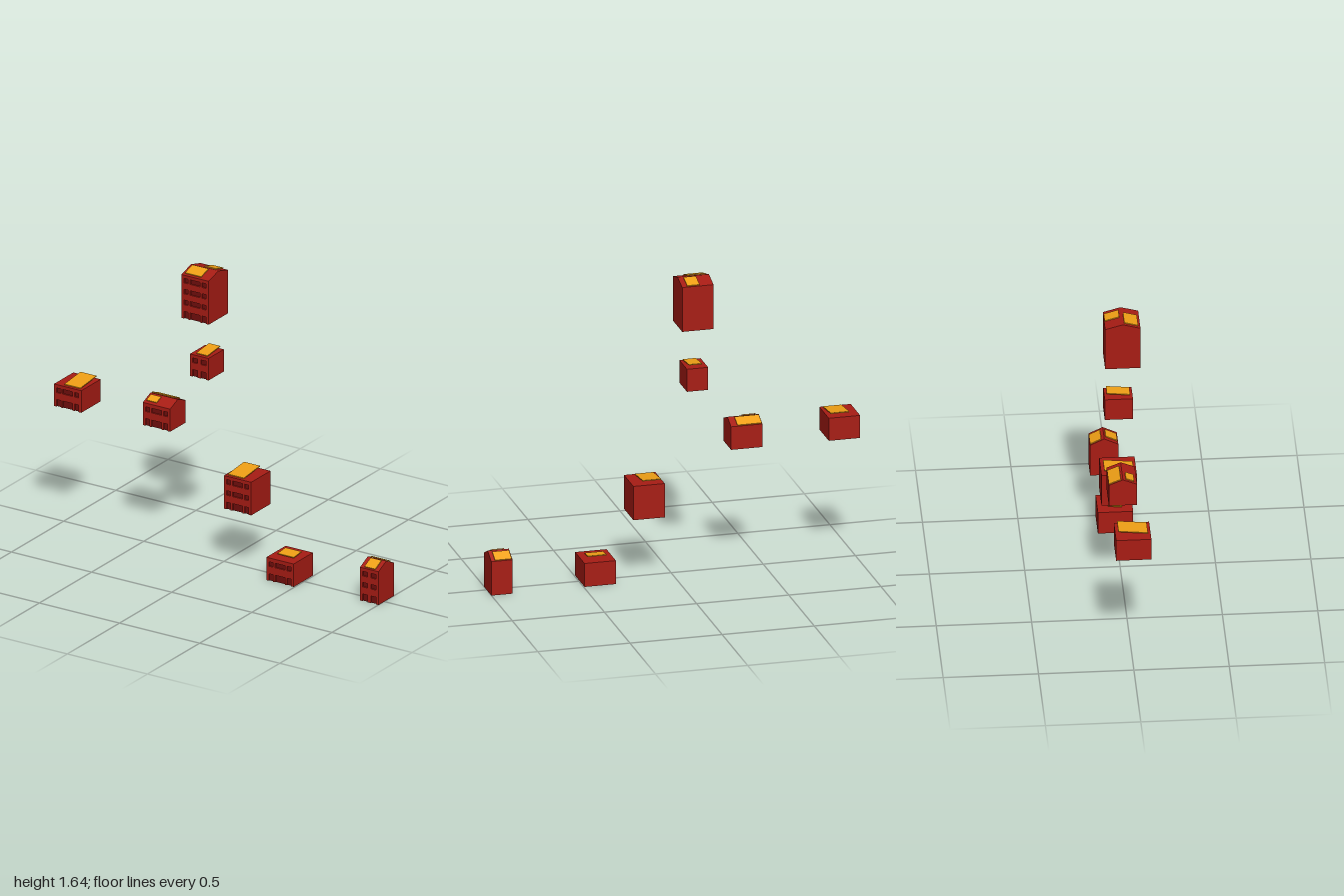
import * as THREE from 'three';

const brick = new THREE.MeshStandardMaterial({ color: 0xa81c14 });
const pane = new THREE.MeshStandardMaterial({ color: 0x700e0c });
const amber = new THREE.MeshStandardMaterial({ color: 0xf0a015 });

const BACK = -0.093, RECESS = 0.008, LIP = 0.006, FLOOR = 0.0625;

function addMesh(parent, name, geometry, material) {
  const mesh = new THREE.Mesh(geometry, material);
  mesh.name = name;
  parent.add(mesh);
  return mesh;
}

// Body with its roof: a side profile swept across the width
function bodyGeometry(width, front, eave, ridge) {
  const pts = [[BACK, 0], [front - RECESS, 0], [front - RECESS, eave - LIP], [front, eave - LIP], [front, eave]];
  if (ridge > eave) pts.push([(front + BACK) / 2, ridge]);
  pts.push([BACK, eave]);
  const shape = new THREE.Shape(pts.map(([z, y]) => new THREE.Vector2(-z, y)));
  const geo = new THREE.ExtrudeGeometry(shape, { depth: width, bevelEnabled: false });
  return geo.rotateY(Math.PI / 2).translate(-width / 2, 0, 0);
}

// Facade openings of one floor as [left, right] pairs
function openings(width) {
  return width > 0.15
    ? [[-0.069, -0.043], [-0.031, 0.031], [0.043, 0.069]]
    : [[-0.042, -0.010], [0.010, 0.042]];
}

// Front wall: ground-floor openings notch the base, upper windows are holes
function addFacade(house, width, front, eave, floors) {
  const cols = openings(width), h = eave - LIP, step = eave / floors;
  const wall = new THREE.Shape();
  wall.moveTo(-width / 2, 0);
  for (const [a, b] of cols) {
    wall.lineTo(a, 0);
    wall.lineTo(a, 0.04);
    wall.lineTo(b, 0.04);
    wall.lineTo(b, 0);
  }
  wall.lineTo(width / 2, 0);
  wall.lineTo(width / 2, h);
  wall.lineTo(-width / 2, h);
  for (let f = 0; f < floors; f++) {
    const y0 = f ? f * step + 0.017 : 0, y1 = f * step + (f ? 0.043 : 0.04);
    for (const [a, b] of cols) {
      if (f) {
        wall.holes.push(new THREE.Path([
          new THREE.Vector2(a, y0), new THREE.Vector2(a, y1),
          new THREE.Vector2(b, y1), new THREE.Vector2(b, y0)]));
      }
      const glass = addMesh(house, f ? 'windowPane' : 'groundPane', new THREE.PlaneGeometry(b - a, y1 - y0), pane);
      glass.position.set((a + b) / 2, (y0 + y1) / 2, front - RECESS + 0.0008);
    }
  }
  const slab = new THREE.ExtrudeGeometry(wall, { depth: RECESS, bevelEnabled: false });
  addMesh(house, 'facade', slab.translate(0, 0, front - RECESS), brick);
}

// Thin roof panel from (z0, y0) at the back to (z1, y1) at the front
function addPanel(house, x0, x1, z0, y0, z1, y1) {
  const panel = addMesh(house, 'roofPanel',
    new THREE.BoxGeometry(x1 - x0, 0.005, Math.hypot(z1 - z0, y1 - y0)), amber);
  panel.position.set((x0 + x1) / 2, (y0 + y1) / 2, (z0 + z1) / 2);
  panel.rotation.x = Math.atan2(y0 - y1, z1 - z0);
}

// Panels are [left, right, back, front] in overall coordinates
const houses = [
  { name: 'farRightHouse', x: -0.915, y: 0.685, w: 0.17, front: 0.092, floors: 2, panels: [[-0.945, -0.845, -0.077, 0.077]] },
  { name: 'rightGableHouse', x: -0.385, y: 0.685, w: 0.17, front: 0.055, floors: 2, eave: 0.128, ridge: 0.158,
    panels: [[-0.467, -0.335, -0.092, -0.03], [-0.457, -0.393, -0.003, 0.04]] },
  { name: 'tallGableHouse', x: -0.12, y: 1.365, w: 0.17, front: 0.092, floors: 4, eave: 0.246, ridge: 0.272,
    panels: [[-0.13, -0.063, -0.09, -0.014], [-0.19, -0.09, 0.008, 0.08]] },
  { name: 'smallHouse', x: -0.118, y: 1.03, w: 0.115, front: 0.055, floors: 2, panels: [[-0.145, -0.075, -0.08, 0.042]] },
  { name: 'middleHouse', x: 0.145, y: 0.345, w: 0.17, front: 0.092, floors: 3, panels: [[0.075, 0.175, -0.077, 0.077]] },
  { name: 'lowHouse', x: 0.41, y: 0, w: 0.17, front: 0.092, floors: 2, eave: 0.13, panels: [[0.36, 0.46, -0.036, 0.037]] },
  { name: 'farLeftGableHouse', x: 0.943, y: 0, w: 0.115, front: 0.055, floors: 3, eave: 0.188, ridge: 0.224,
    panels: [[0.89, 0.98, -0.092, -0.035], [0.91, 0.977, -0.01, 0.05]] },
];

export function createModel() {
  const model = new THREE.Group();
  model.name = 'houses';
  for (const { name, x, y, w, front, floors, eave = floors * FLOOR, ridge = eave, panels } of houses) {
    const house = new THREE.Group();
    house.name = name;
    house.position.set(x, y, 0);
    addMesh(house, 'body', bodyGeometry(w, front, eave, ridge), brick);
    addFacade(house, w, front, eave, floors);

    // Gable panels follow the slope; flat roofs carry one tilted to the front
    const mid = (front + BACK) / 2;
    const slopeY = (z) => ridge - (ridge - eave) * Math.abs(z - mid) / (front - mid) + 0.004;
    for (const [a, b, z0, z1] of panels) {
      const flat = ridge === eave;
      const tilt = 0.05 * (z1 - z0);
      const y0 = flat ? eave + 0.012 + tilt : slopeY(z0);
      const y1 = flat ? eave + 0.012 - tilt : slopeY(z1);
      addPanel(house, a - x, b - x, z0, y0, z1, y1);
    }
    model.add(house);
  }
  return model;
}
